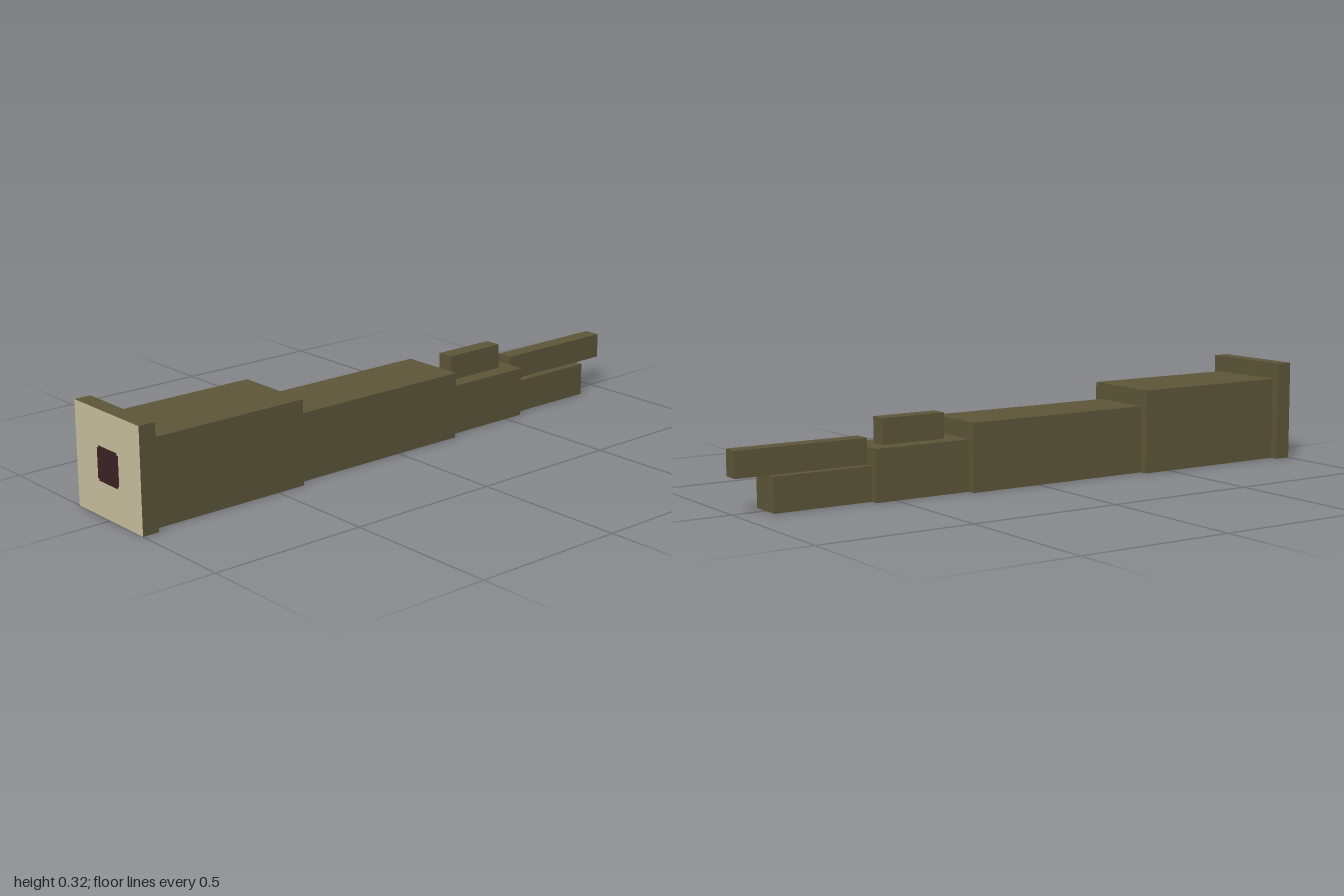
import * as THREE from 'three';

const mat = (name, color) => {
  const m = new THREE.MeshStandardMaterial({ color });
  m.name = name;
  return m;
};

export function createModel() {
  const olive = mat('olive', 0x5d5639);
  const tan = mat('tan', 0xcac09e);
  const maroon = mat('dark maroon', 0x3b2224);
  const group = new THREE.Group();
  group.name = 'steppedBarrel';

  // Box given by half width, height range and depth range
  const block = (name, halfW, y0, y1, z0, z1, material = olive) => {
    const mesh = new THREE.Mesh(new THREE.BoxGeometry(halfW * 2, y1 - y0, z1 - z0), material);
    mesh.position.set(0, (y0 + y1) / 2, (z0 + z1) / 2);
    mesh.name = name;
    group.add(mesh);
  };

  // Flange with a tan front face
  block('frontFlange', 0.162, 0, 0.324, 0.946, 1, [olive, olive, olive, olive, tan, olive]);

  // Body sections stepping down towards the back
  block('frontSection', 0.135, 0, 0.27, 0.405, 0.946);
  block('middleSection', 0.108, 0, 0.216, -0.243, 0.405);
  block('rearSection', 0.081, 0, 0.162, -0.568, -0.243);
  block('tailSection', 0.054, 0, 0.108, -0.892, -0.568);

  // Bars on top
  block('tailRail', 0.027, 0.108, 0.189, -1, -0.568);
  block('topBlock', 0.027, 0.162, 0.243, -0.514, -0.297);

  // Dark opening: a square with notched corners
  const a = 0.0535, b = 0.0465;
  const outline = [];
  for (const [sx, sy] of [[1, 1], [-1, 1], [-1, -1], [1, -1]]) {
    const corner = [[a, b], [b, b], [b, a]].map(([x, y]) => new THREE.Vector2(sx * x, sy * y));
    outline.push(...(sx * sy > 0 ? corner : corner.reverse()));
  }
  const opening = new THREE.Mesh(new THREE.ShapeGeometry(new THREE.Shape(outline)), maroon);
  opening.position.set(0, 0.162, 1.001);
  opening.name = 'frontOpening';
  group.add(opening);

  return group;
}
